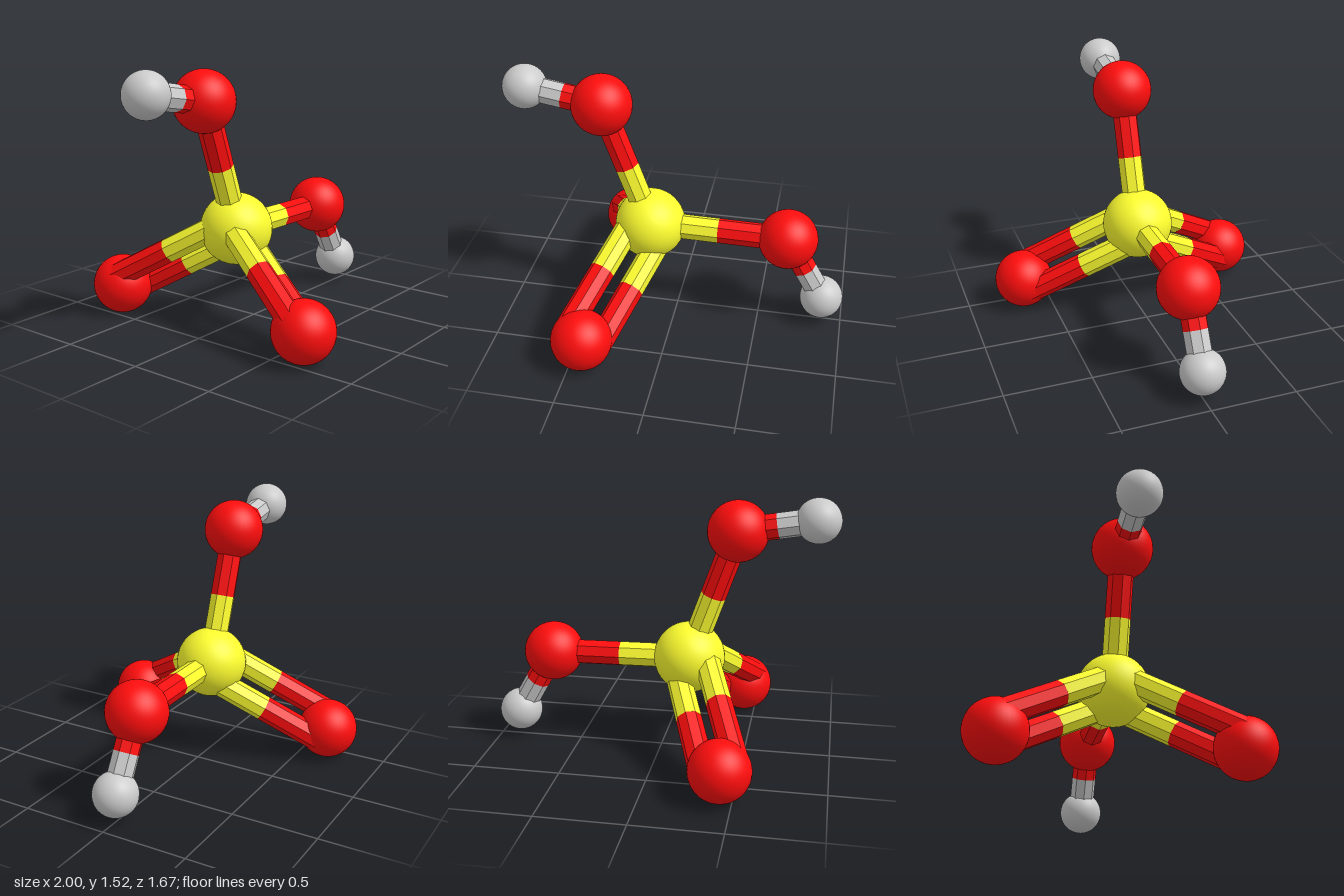
import * as THREE from 'three';

const BOND_RADIUS = 0.074;
const DOUBLE_OFFSET = 0.1;
const UP = new THREE.Vector3(0, 1, 0);

export function createModel() {
  const model = new THREE.Group();
  model.name = 'moleculeModel';

  // Elements: sphere radius and colour
  const element = (radius, color) => ({
    radius,
    ball: new THREE.MeshStandardMaterial({ color }),
    stick: new THREE.MeshStandardMaterial({ color, flatShading: true, side: THREE.DoubleSide }),
  });
  const sulfur = element(0.207, 0xffff30);
  const oxygen = element(0.174, 0xff0d0d);
  const hydrogen = element(0.127, 0xcccccc);

  // Atom: a smooth ball
  const atom = (name, kind, x, y, z) => {
    const mesh = new THREE.Mesh(new THREE.SphereGeometry(kind.radius, 40, 28), kind.ball);
    mesh.name = name;
    mesh.position.set(x, y, z);
    model.add(mesh);
    return { name, kind, position: mesh.position };
  };

  // Half of a stick, in the colour of the atom it starts from
  const halfStick = (name, kind, from, to) => {
    const dir = to.clone().sub(from);
    const geometry = new THREE.CylinderGeometry(BOND_RADIUS, BOND_RADIUS, dir.length(), 8, 1, true);
    const mesh = new THREE.Mesh(geometry, kind.stick);
    mesh.name = name;
    mesh.position.copy(from).add(to).multiplyScalar(0.5);
    mesh.quaternion.setFromUnitVectors(UP, dir.normalize());
    return mesh;
  };

  // Bond: one or more two-coloured sticks, each shifted sideways
  const bond = (a, b, shifts = [new THREE.Vector3()]) => {
    const group = new THREE.Group();
    group.name = `${a.name}To${b.name}Bond`;
    for (const shift of shifts) {
      const start = a.position.clone().add(shift);
      const end = b.position.clone().add(shift);
      const middle = start.clone().lerp(end, 0.5);
      group.add(halfStick('innerHalf', a.kind, start, middle));
      group.add(halfStick('outerHalf', b.kind, end, middle));
    }
    model.add(group);
  };

  const centre = atom('sulfurAtom', sulfur, -0.165, 0.567, 0);

  // Two single-bonded arms, each ending in a small ball
  const topOxygen = atom('topOxygen', oxygen, -0.433, 1.323, 0);
  const topHydrogen = atom('topHydrogen', hydrogen, -0.873, 1.397, 0);
  const sideOxygen = atom('sideOxygen', oxygen, 0.653, 0.555, 0);
  const sideHydrogen = atom('sideHydrogen', hydrogen, 0.873, 0.165, 0);
  bond(centre, topOxygen);
  bond(topOxygen, topHydrogen);
  bond(centre, sideOxygen);
  bond(sideOxygen, sideHydrogen);

  // Mirrored front and back arms with paired sticks
  for (const side of [1, -1]) {
    const foot = atom(side > 0 ? 'frontOxygen' : 'backOxygen', oxygen, -0.429, 0.175, side * 0.66);
    const d = foot.position.clone().sub(centre.position);
    const shift = new THREE.Vector3(-d.y, d.x, 0).setLength(DOUBLE_OFFSET);
    bond(centre, foot, [shift, shift.clone().negate()]);
  }

  return model;
}
